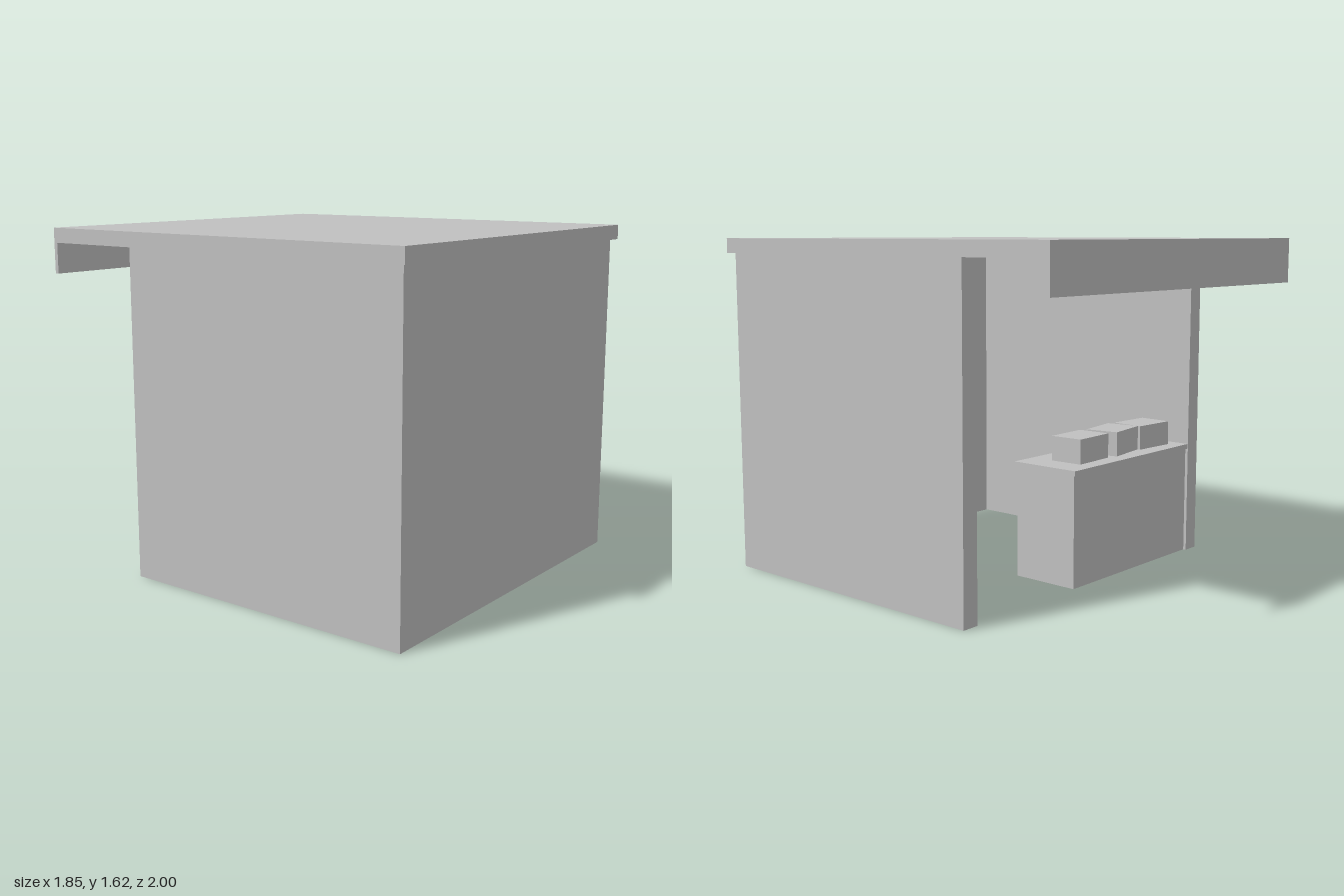
import * as THREE from 'three';

export function createModel() {
  const grey = new THREE.MeshStandardMaterial({ color: 0xc0c0c0 });
  grey.name = 'light grey';
  const model = new THREE.Group();
  model.name = 'marketStall';

  // Box given by its minimum and maximum along each axis
  function slab(name, [x0, x1], [y0, y1], [z0, z1], parent = model) {
    const mesh = new THREE.Mesh(new THREE.BoxGeometry(x1 - x0, y1 - y0, z1 - z0), grey);
    mesh.position.set((x0 + x1) / 2, (y0 + y1) / 2, (z0 + z1) / 2);
    mesh.name = name;
    parent.add(mesh);
    return mesh;
  }

  // Roof with a hanging fascia over the open side
  slab('roof', [-0.925, 0.925], [1.555, 1.625], [-1, 1]);
  slab('fascia', [-0.925, 0.925], [1.41, 1.555], [-1, -0.98]);

  // U-shaped walls, open at the back and without a floor
  const plan = new THREE.Shape([
    [-0.895, -0.975], [0.895, -0.975], [0.895, 0.52], [0.81, 0.52],
    [0.81, -0.89], [-0.81, -0.89], [-0.81, 0.52], [-0.895, 0.52],
  ].map(([x, y]) => new THREE.Vector2(x, y)));
  const walls = new THREE.Mesh(
    new THREE.ExtrudeGeometry(plan, { depth: 1.555, bevelEnabled: false }), grey);
  walls.rotation.x = -Math.PI / 2;
  walls.name = 'walls';
  model.add(walls);

  // Serving counter against one side wall
  const counter = new THREE.Group();
  counter.name = 'counter';
  model.add(counter);
  slab('counterBase', [-0.81, 0.13], [0, 0.54], [-0.505, -0.16], counter);
  slab('counterTop', [-0.81, 0.14], [0.54, 0.565], [-0.518, -0.15], counter);

  // Three slightly turned boxes on the counter
  const goods = [[-0.115, -0.35, 0.03], [-0.385, -0.345, 0.15], [-0.63, -0.35, -0.07]];
  for (const [x, z, turn] of goods) {
    const box = slab('goodsBox', [x - 0.115, x + 0.115], [0.565, 0.685], [z - 0.085, z + 0.085], counter);
    box.rotation.y = turn;
  }

  // Shelf unit on the inside of the closed wall
  const shelves = new THREE.Group();
  shelves.name = 'shelfUnit';
  model.add(shelves);
  for (const x of [-0.34, 0.58]) slab('shelfSide', [x, x + 0.02], [0, 1.12], [0.635, 0.89], shelves);
  for (const y of [0.025, 0.38, 0.735, 1.09]) {
    slab('shelfBoard', [-0.32, 0.58], [y, y + 0.025], [0.64, 0.89], shelves);
  }

  return model;
}
